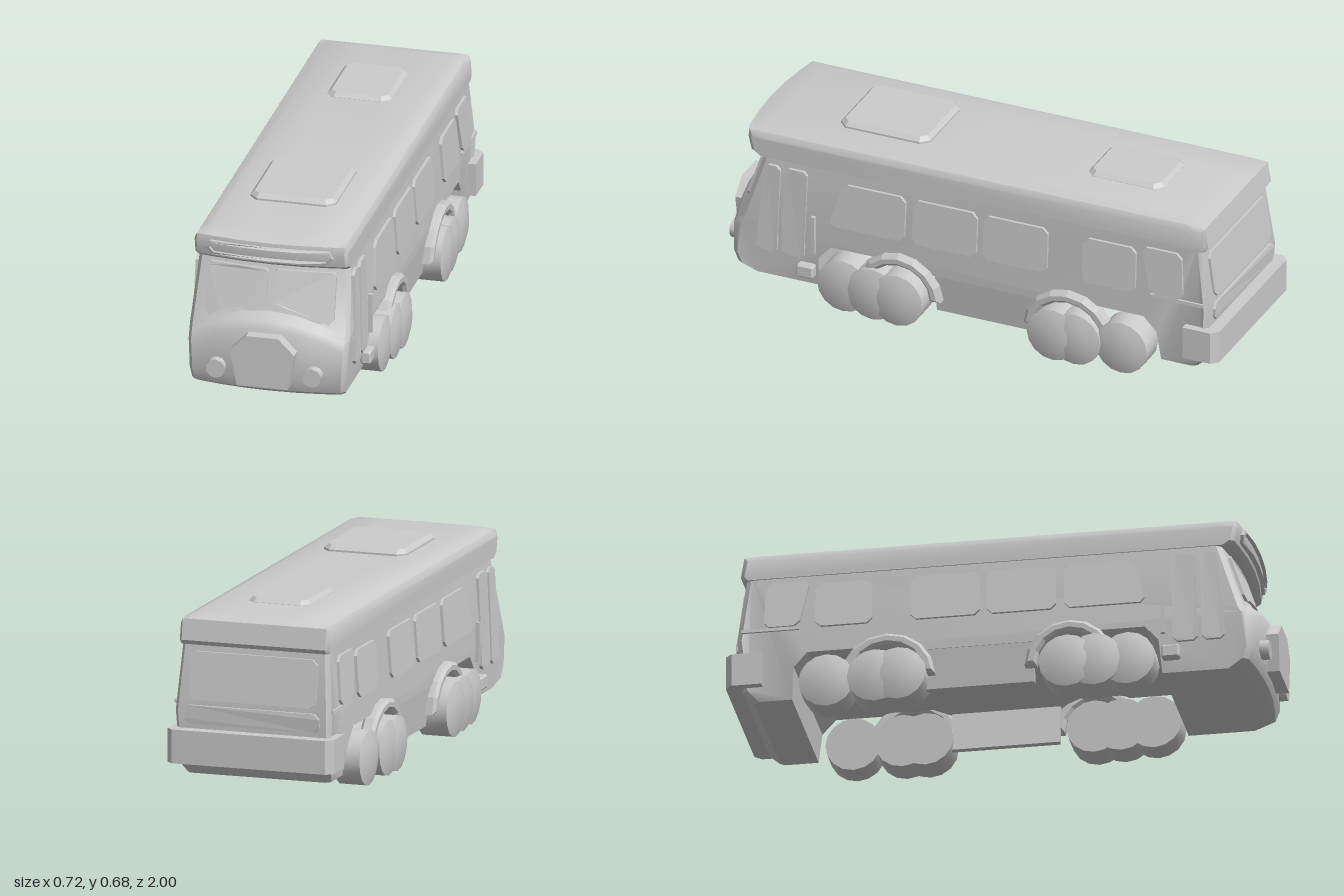
import * as THREE from 'three';
import { toCreasedNormals } from 'three/addons/utils/BufferGeometryUtils.js';

const material = new THREE.MeshStandardMaterial({ color: 0xcccccc });
const SIDES = [1, -1];

// Piecewise linear lookup through [key, value] pairs
function lerpTable(table, k) {
  if (k <= table[0][0]) return table[0][1];
  for (let i = 1; i < table.length; i++) {
    const [k0, v0] = table[i - 1], [k1, v1] = table[i];
    if (k <= k1) return v0 + (v1 - v0) * (k - k0) / (k1 - k0);
  }
  return table[table.length - 1][1];
}
const halfWidth = y => lerpTable([[0.055, 0.272], [0.09, 0.29], [0.3, 0.3], [0.56, 0.281]], y);
const rearZ = y => lerpTable([[0.06, -0.9], [0.1, -0.94], [0.3, -0.96], [0.55, -0.925]], y);
const screenZ = y => 0.905 - (y - 0.36) * 0.33;
const BOW = 0.03; // how far the front curves back towards the corners

// Replace each corner of a polygon by a small chamfer
function chamfer(pts, r) {
  return pts.flatMap((p, i) => [pts[(i + pts.length - 1) % pts.length], pts[(i + 1) % pts.length]].map(n => {
    const d = Math.hypot(n[0] - p[0], n[1] - p[1]);
    return [p[0] + (n[0] - p[0]) * r / d, p[1] + (n[1] - p[1]) * r / d];
  }));
}
const rect = (a0, a1, b0, b1) => [[a0, b0], [a1, b0], [a1, b1], [a0, b1]];
const toShape = pts => new THREE.Shape(pts.map(p => new THREE.Vector2(p[0], p[1])));

function extrude(shape, depth, bevel = 0) {
  return new THREE.ExtrudeGeometry(shape, {
    depth: depth - bevel, bevelEnabled: bevel > 0, bevelThickness: bevel,
    bevelSize: bevel, bevelOffset: -bevel, bevelSegments: 1, curveSegments: 8,
  });
}
// Move every vertex by a rule
function deform(geo, rule) {
  const p = geo.attributes.position, v = new THREE.Vector3();
  for (let i = 0; i < p.count; i++) {
    rule(v.fromBufferAttribute(p, i));
    p.setXYZ(i, v.x, v.y, v.z);
  }
  geo.computeVertexNormals();
  return geo;
}
// Panel drawn in (z, y) that follows the leaning side wall
function sidePanel(pts, s, depth, offset = 0, bevel = 0) {
  const geo = extrude(toShape(pts.map(([z, y]) => [-s * z, y])), depth, bevel);
  geo.rotateY(s * Math.PI / 2);
  return deform(geo, v => { v.x += s * (halfWidth(v.y) + offset); });
}
// Solid whose (z, y) outline changes with t across the width
function loft(columns, profile, width) {
  const pos = [], index = [], n = profile(0).length;
  columns.forEach(t => profile(t).forEach(([z, y]) => pos.push(t * width(y), y, z)));
  for (let i = 0; i < columns.length - 1; i++) {
    for (let j = 0; j < n; j++) {
      const k = (j + 1) % n, a = i * n + j, b = i * n + k;
      index.push(a, a + n, b + n, a, b + n, b);
    }
  }
  const last = (columns.length - 1) * n;
  const outline = profile(1).map(p => new THREE.Vector2(p[0], p[1]));
  THREE.ShapeUtils.triangulateShape(outline, []).forEach(([a, b, c]) =>
    index.push(a, b, c, last + a, last + c, last + b));
  const geo = new THREE.BufferGeometry();
  geo.setAttribute('position', new THREE.Float32BufferAttribute(pos, 3));
  geo.setIndex(index);
  return toCreasedNormals(geo, 0.6);
}

function bodyProfile(t) {
  const q = t * t, hood = 0.325 - 0.085 * q, e = Math.abs(t) === 1 ? 0.98 : 1;
  const front = [
    [0.89, 0.055], [0.945, 0.085], [0.962, 0.13], [0.958, hood],
    [0.94, hood + 0.028], [screenZ(hood + 0.05), hood + 0.05], [0.848, 0.535], [0.84, 0.56],
  ].map(([z, y]) => [(z - BOW * q) * e, y]);
  const rear = [0.56, 0.3, 0.1, 0.06].map(y => [rearZ(y) * e, y]);
  // Underside with wheel wells and a raised floor
  const under = [[-0.76, 0.06], [-0.75, 0.18], [-0.7, 0.235], [-0.34, 0.235], [-0.28, 0.21],
    [0.14, 0.21], [0.2, 0.235], [0.54, 0.235], [0.59, 0.18], [0.6, 0.055]];
  return [...front, ...rear, ...under];
}
function roofProfile(t) {
  const a = Math.abs(t), q = t * t, e = a === 1 ? 0.985 : 1;
  const top = lerpTable([[0.8, 0.66], [0.96, 0.64], [1, 0.62]], a);
  return [
    [0.865 - BOW * q, 0.543], [0.892 - BOW * q, 0.56], [0.905 - BOW * q, Math.min(0.612, top)],
    [0.9 - BOW * q, Math.min(0.64, top)], [0.81, top], [-0.86, top],
    [-0.935, Math.min(0.637, top)], [-0.948, 0.56], [-0.935, 0.543],
  ].map(([z, y]) => [z * e, y]);
}

export function createModel() {
  const bus = new THREE.Group();
  bus.name = 'bus';
  const add = (name, geo) => {
    const mesh = new THREE.Mesh(geo, material);
    mesh.name = name;
    bus.add(mesh);
    return mesh;
  };

  // Body and roof
  add('body', loft([-1, -0.95, -0.66, -0.33, 0, 0.33, 0.66, 0.95, 1], bodyProfile, halfWidth));
  add('roof', loft([-1, -0.96, -0.8, -0.4, 0, 0.4, 0.8, 0.96, 1], roofProfile, () => 0.287));

  // Roof hatches
  [[0.16, 0.22, 0.575, 0.022], [0.12, -0.69, -0.39, 0.016]].forEach(([w, z0, z1, h]) => {
    const geo = extrude(toShape(chamfer(rect(-w, w, -z1, -z0), 0.03)), h + 0.01, 0.015);
    geo.rotateX(-Math.PI / 2);
    add('roofHatch', geo).position.y = 0.65;
  });

  // Destination sign frame, following the curved roof front
  const band = (w, y0, y1) => {
    const xs = [-1, -0.5, 0, 0.5, 1].map(k => k * (w - 0.015)), ym = (y0 + y1) / 2;
    return [...xs.map(x => [x, y0]), [w, ym], ...xs.reverse().map(x => [x, y1]), [-w, ym]];
  };
  const signShape = toShape(band(0.238, 0.572, 0.626));
  signShape.holes.push(toShape(band(0.225, 0.58, 0.618)));
  add('signFrame', deform(extrude(signShape, 0.014), v => {
    v.z += lerpTable([[0.56, 0.89], [0.612, 0.903], [0.64, 0.898]], v.y) - BOW * (v.x / 0.287) ** 2;
  }));

  // Split windscreen
  const screen = [[0.012, 0.41], [0.03, 0.392], [0.07, 0.39], [0.18, 0.36], [0.222, 0.34],
    [0.242, 0.36], [0.238, 0.51], [0.23, 0.523], [0.12, 0.523], [0.022, 0.523], [0.012, 0.513]];
  SIDES.forEach(s => add('windscreen', deform(extrude(toShape(screen.map(([x, y]) => [s * x, y])), 0.012), v => {
    v.z += screenZ(v.y) - BOW * (v.x / 0.285) ** 2;
  })));

  // Grille and headlights
  const grille = [[-0.095, 0.113], [0.095, 0.113], [0.12, 0.25], [0.06, 0.31], [-0.06, 0.31], [-0.12, 0.25]];
  add('grille', extrude(toShape(grille), 0.07)).position.z = 0.93;
  SIDES.forEach(s => {
    const lamp = new THREE.CylinderGeometry(0.036, 0.036, 0.06, 10);
    lamp.rotateX(Math.PI / 2);
    add('headlight', toCreasedNormals(lamp, 0.8)).position.set(s * 0.18, 0.16, 0.95);
  });

  // Rear window, rear panel and wrap-round bumper
  [[0.245, 0.345, 0.52], [0.26, 0.255, 0.325]].forEach(([w, y0, y1], i) => {
    const geo = extrude(toShape(chamfer(rect(-w, w, y0, y1), 0.02)), 0.01);
    geo.rotateY(Math.PI);
    add(i ? 'rearPanel' : 'rearWindow', deform(geo, v => { v.z += rearZ(v.y); }));
  });
  const bumper = [[-0.32, 0.865], [-0.29, 0.865], [-0.29, 0.93], [0.29, 0.93], [0.29, 0.865],
    [0.32, 0.865], [0.32, 0.975], [0.295, 1], [-0.295, 1], [-0.32, 0.975]];
  const bumperGeo = extrude(toShape(bumper), 0.125);
  bumperGeo.rotateX(-Math.PI / 2);
  add('rearBumper', bumperGeo).position.y = 0.112;

  // Side fittings, alike on both sides
  const windows = [
    [[0.545, 0.33], [0.245, 0.33], [0.245, 0.505], [0.495, 0.505]],
    rect(-0.04, 0.215, 0.33, 0.505), rect(-0.32, -0.065, 0.33, 0.505), rect(-0.67, -0.46, 0.33, 0.505),
    [[-0.73, 0.34], [-0.86, 0.34], [-0.85, 0.52], [-0.69, 0.52]],
  ];
  const doors = [
    [[0.835, 0.165], [0.752, 0.165], [0.742, 0.52], [0.805, 0.52]],
    [[0.735, 0.165], [0.645, 0.165], [0.635, 0.52], [0.725, 0.52]],
  ];
  const archShape = (zc, stretch) => {
    const arc = r => Array.from({ length: 9 }, (_, i) => {
      const a = i * Math.PI / 8;
      return [zc + r * stretch * Math.cos(a), 0.11 + r * Math.sin(a)];
    });
    return [...arc(0.165), ...arc(0.122).reverse()];
  };
  // Each wheel: [z, outer face x]
  const wheels = [[0.48, 0.34], [0.36, 0.352], [0.26, 0.358], [-0.36, 0.358], [-0.445, 0.355], [-0.625, 0.343]];

  SIDES.forEach(s => {
    windows.forEach(p => add('sideWindow', sidePanel(chamfer(p, 0.02), s, 0.011)));
    doors.forEach(p => add('doorLeaf', sidePanel(chamfer(p, 0.015), s, 0.012)));
    add('doorRail', sidePanel(rect(0.6, 0.615, 0.2, 0.35), s, 0.016));
    add('rearSideTrim', sidePanel(rect(-0.94, -0.73, 0.325, 0.338), s, 0.008));
    add('skirt', sidePanel(rect(-0.27, 0.13, 0.06, 0.24), s, 0.025, -0.025));
    add('wheelArch', sidePanel(archShape(0.265, 1), s, 0.045, -0.015, 0.012));
    add('wheelArch', sidePanel(archShape(-0.405, 1.06), s, 0.045, -0.015, 0.012));
    add('sideMarker', extrude(toShape(chamfer(rect(-0.02, 0.02, -0.025, 0.025), 0.006)), 0.06, 0.006))
      .position.set(s * 0.3, 0.122, 0.61);
    wheels.forEach(([z, x]) => {
      const outline = [[0, 0.23], [0.1025, 0.23], [0.1025, x - 0.014], [0.055, x], [0, x]];
      const geo = new THREE.LatheGeometry(outline.map(p => new THREE.Vector2(p[0], p[1])), 16);
      geo.rotateZ(-s * Math.PI / 2);
      add('wheel', toCreasedNormals(geo, 0.45)).position.set(0, 0.1025, z);
    });
  });
  return bus;
}
